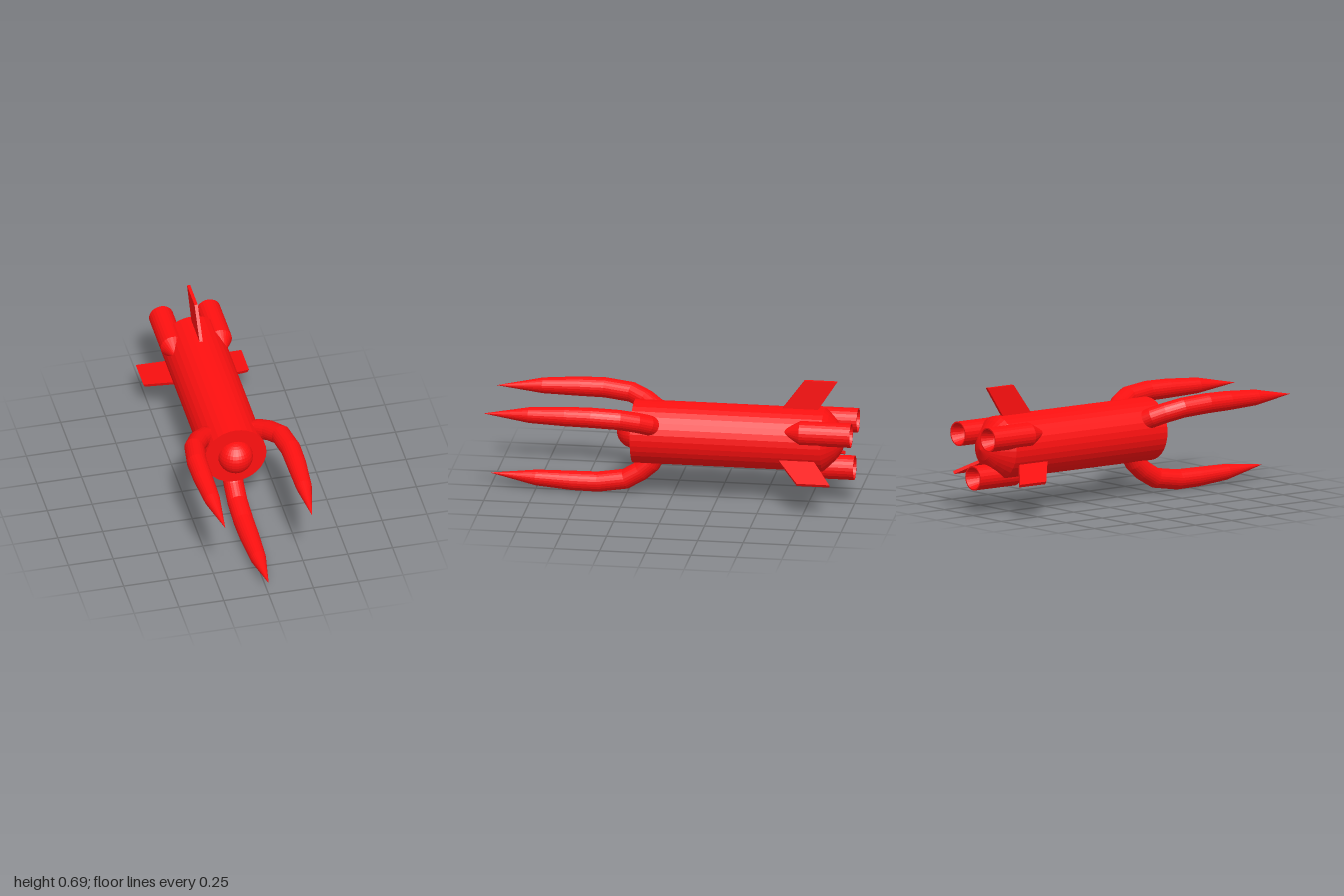
import * as THREE from 'three';

const AXIS_Y = 0.36;
const SIDES = 32;
const THIRD = (Math.PI * 2) / 3;

const paint = new THREE.MeshStandardMaterial({ color: 0xff1010, flatShading: true });

function part(name, geometry) {
  const mesh = new THREE.Mesh(geometry, paint);
  mesh.name = name;
  return mesh;
}

// Turned shape around the z axis from [radius, z] pairs
function turned(profile, sides = SIDES) {
  const points = profile.map(([r, z]) => new THREE.Vector2(r, z));
  return new THREE.LatheGeometry(points, sides).rotateX(Math.PI / 2);
}

// Bent, tapering tube in the yz plane from [z, y, radius] stations
function taperedTube(stations, sides) {
  const positions = [], indices = [];
  stations.forEach(([z, y, radius], i) => {
    const before = stations[Math.max(i - 1, 0)];
    const after = stations[Math.min(i + 1, stations.length - 1)];
    const tangent = new THREE.Vector2(after[0] - before[0], after[1] - before[1]).normalize();
    for (let j = 0; j < sides; j++) {
      const a = (j / sides) * Math.PI * 2;
      const side = Math.cos(a) * radius, out = Math.sin(a) * radius;
      positions.push(side, y + out * tangent.x, z - out * tangent.y);
      if (i < stations.length - 1) {
        const k = i * sides + j, n = i * sides + ((j + 1) % sides);
        indices.push(k, n, k + sides, n, n + sides, k + sides);
      }
    }
  });
  const geometry = new THREE.BufferGeometry();
  geometry.setAttribute('position', new THREE.Float32BufferAttribute(positions, 3));
  geometry.setIndex(indices);
  geometry.computeVertexNormals();
  return geometry;
}

// Swept-back plate standing on the hull, outline in [z, y]
function finGeometry() {
  const thickness = 0.018;
  const outline = [[-0.59, 0.15], [-0.605, 0.172], [-0.725, 0.335], [-0.905, 0.335], [-0.8, 0.172], [-0.785, 0.15]];
  const shape = new THREE.Shape(outline.map(([z, y]) => new THREE.Vector2(-z, y)));
  return new THREE.ExtrudeGeometry(shape, { depth: thickness, bevelEnabled: false })
    .translate(0, 0, -thickness / 2)
    .rotateY(Math.PI / 2);
}

export function createModel() {
  const model = new THREE.Group();
  model.name = 'rocketShip';
  const ship = new THREE.Group();
  ship.name = 'ship';
  ship.position.y = AXIS_Y;
  model.add(ship);

  // Hull with a flat front and domed tail
  ship.add(part('hull', turned([
    [0, -0.95], [0.06, -0.932], [0.11, -0.9], [0.15, -0.862], [0.173, -0.835],
    [0.173, 0.21], [0, 0.21],
  ])));

  // Round nose half sunk into the front
  const nose = part('nose', new THREE.SphereGeometry(0.095, SIDES, 16));
  nose.position.z = 0.21;
  ship.add(nose);

  const arm = taperedTube([
    [0.085, 0.12, 0.055], [0.12, 0.18, 0.055], [0.175, 0.228, 0.055], [0.26, 0.278, 0.055],
    [0.41, 0.302, 0.055], [0.55, 0.302, 0.053], [0.75, 0.295, 0.043], [1, 0.28, 0.0005],
  ], 24);

  // Thruster: hollow nozzle, straight shell, pointed front
  const thruster = turned([
    [0, -0.88], [0.015, -0.88], [0.015, -0.9], [0.04, -0.93], [0.06, -1],
    [0.067, -1], [0.067, -0.72], [0, -0.6],
  ], 24).translate(0, 0.152, 0);

  const fin = finGeometry();

  // Arms and thrusters share three directions, fins stand between them
  for (let i = 0; i < 3; i++) {
    const limbAngle = Math.PI + i * THIRD;
    const frontArm = part('frontArm', arm);
    const rearThruster = part('thruster', thruster);
    const rearFin = part('fin', fin);
    frontArm.rotation.z = limbAngle;
    rearThruster.rotation.z = limbAngle;
    rearFin.rotation.z = i * THIRD;
    ship.add(frontArm, rearThruster, rearFin);
  }

  return model;
}
